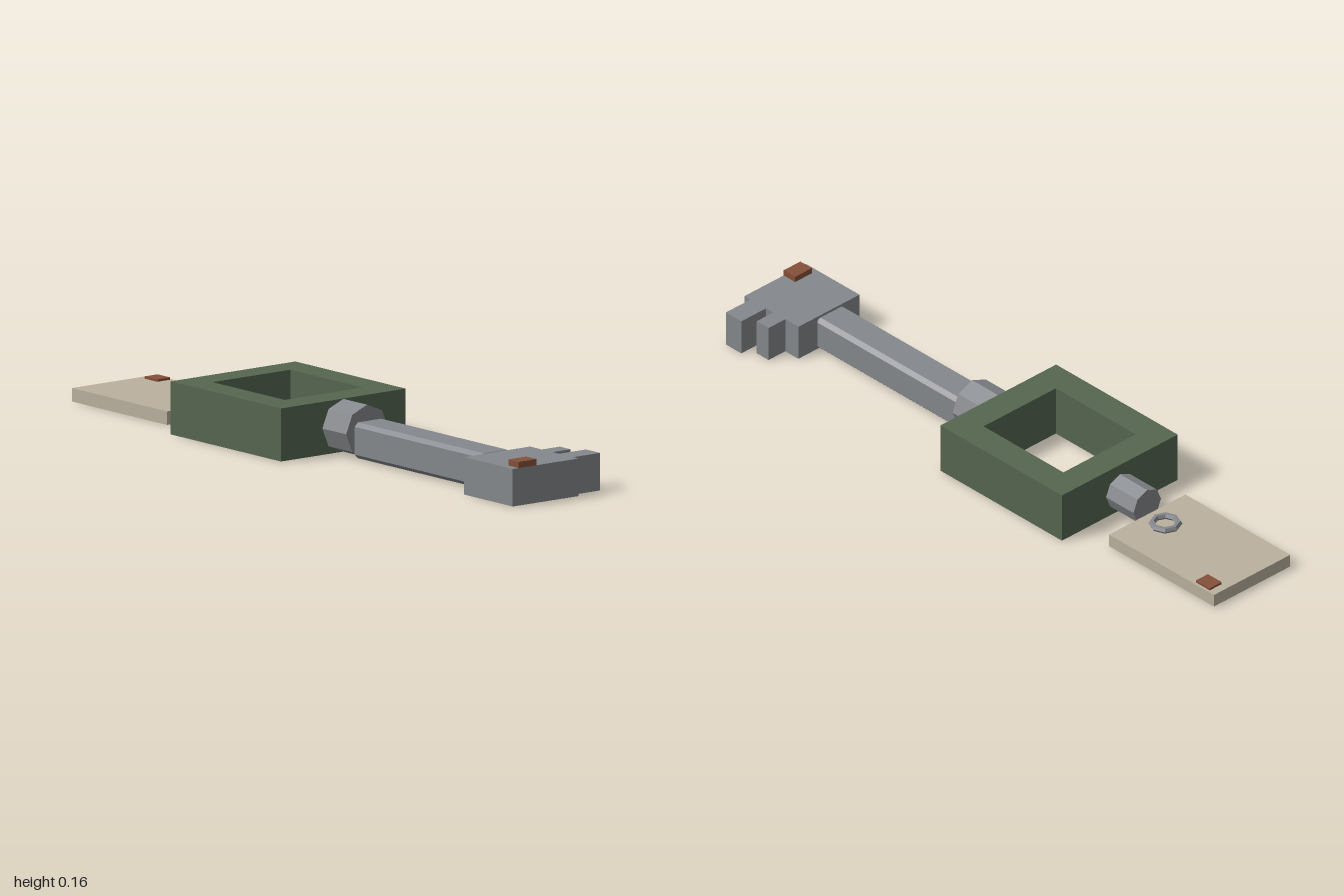
import * as THREE from 'three';
import { ConvexGeometry } from 'three/addons/geometries/ConvexGeometry.js';

const flat = (name, color) => {
  const m = new THREE.MeshStandardMaterial({ color, flatShading: true });
  m.name = name;
  return m;
};

export function createModel() {
  const group = new THREE.Group();
  const steel = flat('steel', 0x85888c);
  const green = flat('green paint', 0x566650);
  const bone = flat('bone tag', 0xbab19f);
  const rust = flat('rust', 0x84513a);

  const add = (name, geometry, material) => {
    const mesh = new THREE.Mesh(geometry, material);
    mesh.name = name;
    group.add(mesh);
    return mesh;
  };

  // box given by its limits on each axis
  const box = (name, [x0, x1], [y0, y1], [z0, z1], material) =>
    add(name, new THREE.BoxGeometry(x1 - x0, y1 - y0, z1 - z0)
      .translate((x0 + x1) / 2, (y0 + y1) / 2, (z0 + z1) / 2), material);

  // eight-sided rod lying along x
  const rod = (name, x0, x1, y, radius) =>
    add(name, new THREE.CylinderGeometry(radius, radius, x1 - x0, 8)
      .rotateZ(Math.PI / 2).translate((x0 + x1) / 2, y, 0), steel);

  // square handle frame with an open middle
  const rectangle = (path, x0, x1, z) => path
    .moveTo(x0, -z).lineTo(x1, -z).lineTo(x1, z).lineTo(x0, z).closePath();
  const outline = new THREE.Shape();
  rectangle(outline, -0.445, 0.065, 0.232);
  const hole = new THREE.Path();
  rectangle(hole, -0.36, -0.025, 0.145);
  outline.holes.push(hole);
  add('handleFrame', new THREE.ExtrudeGeometry(outline, { depth: 0.157, bevelEnabled: false })
    .rotateX(-Math.PI / 2), green);

  // collar and link on either side of the frame
  rod('collar', 0.065, 0.175, 0.078, 0.078);
  rod('tagLink', -0.56, -0.445, 0.07, 0.055);

  // shaft: a box with every edge chamfered
  const half = [0.302, 0.053, 0.055], chamfer = 0.012, corners = [];
  for (const sx of [-1, 1]) for (const sy of [-1, 1]) for (const sz of [-1, 1])
    for (let full = 0; full < 3; full++) {
      const p = [sx, sy, sz].map((s, i) => s * (half[i] - (i === full ? 0 : chamfer)));
      corners.push(new THREE.Vector3(...p));
    }
  add('shaft', new ConvexGeometry(corners).translate(0.476, 0.058, 0), steel);

  // bit with two teeth pointing back, as one outline
  const bit = new THREE.Shape([
    [0.775, -0.122], [1, -0.122], [1, 0.123], [0.975, 0.123], [0.975, 0.223], [0.91, 0.223],
    [0.91, 0.123], [0.88, 0.123], [0.88, 0.19], [0.83, 0.19], [0.83, 0.123], [0.775, 0.123],
  ].map(([x, y]) => new THREE.Vector2(x, y)));
  add('toothedBit', new THREE.ExtrudeGeometry(bit, { depth: 0.111, bevelEnabled: false })
    .rotateX(-Math.PI / 2), steel);
  box('bitRustPatch', [0.952, 1], [0.111, 0.129], [0.033, 0.1], rust);

  // flat tag with its ring and rust patch
  box('tag', [-1, -0.56], [0, 0.04], [-0.153, 0.153], bone);
  box('tagRustPatch', [-0.974, -0.916], [0.04, 0.047], [-0.145, -0.097], rust);
  add('tagRing', new THREE.TorusGeometry(0.039, 0.0105, 6, 8)
    .rotateX(-Math.PI / 2).translate(-0.636, 0.046, 0), steel);

  return group;
}
